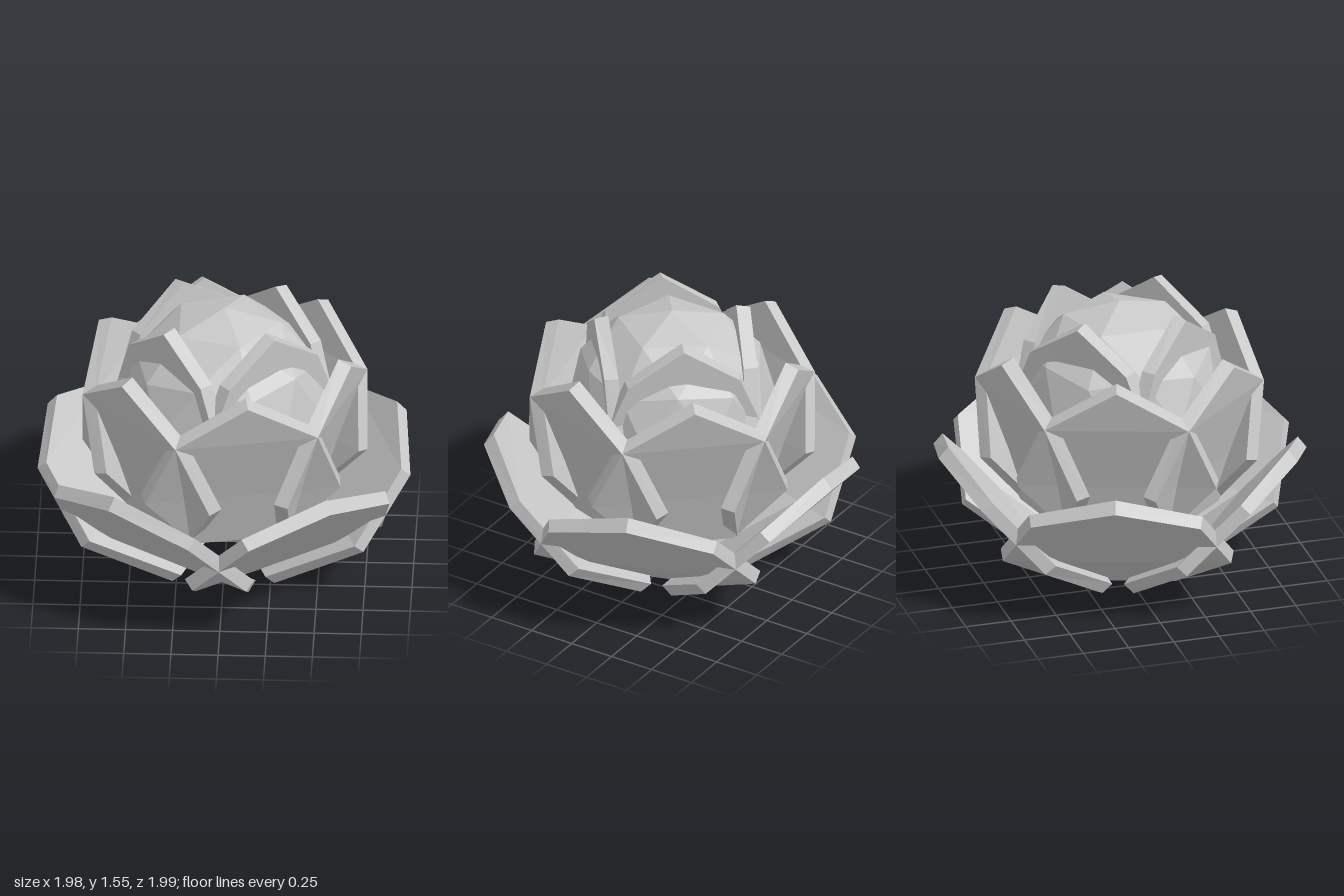
import * as THREE from 'three';

export function createModel() {
  const flower = new THREE.Group();
  flower.name = 'flower';
  const grey = new THREE.MeshStandardMaterial({ color: 0xc8c8c8, flatShading: true });
  grey.name = 'stone grey';

  // Cupped seven-sided plate facing +z, lofted from tip to base through four rows.
  // Each row is [half width, distance from the axis, height] of the outer face.
  function petalGeometry(rows, thickness, tilt) {
    const a = THREE.MathUtils.degToRad(tilt);
    const positions = [];
    const index = [];
    rows.forEach(([half, r, y], i) => {
      const lift = i === 0 ? 0.012 : 0; // the inner tip stands a little higher
      const ri = r - thickness * Math.cos(a);
      const yi = y + thickness * Math.sin(a) + lift;
      const hi = half * 1.02;
      positions.push(-half, y, r, half, y, r, hi, yi, ri, -hi, yi, ri);
      if (i === 0) return;
      for (let k = 0; k < 4; k++) {
        const a0 = (i - 1) * 4 + k, b0 = (i - 1) * 4 + (k + 1) % 4;
        index.push(a0, a0 + 4, b0 + 4, a0, b0 + 4, b0);
      }
    });
    const e = (rows.length - 1) * 4;
    index.push(e, e + 3, e + 2, e, e + 2, e + 1); // underside of the base
    const g = new THREE.BufferGeometry();
    g.setAttribute('position', new THREE.Float32BufferAttribute(positions, 3));
    g.setIndex(index);
    g.computeVertexNormals();
    return g;
  }

  // Rings of overlapping petals; rows are tip, shoulder, widest point, base
  const rings = [
    { name: 'outerPetal', count: 5, start: 36, thick: 0.072, tilt: 43,
      rows: [[0, 1.0, 0.76], [0.45, 0.893, 0.632], [0.605, 0.59, 0.295], [0.305, 0.186, 0]] },
    { name: 'middlePetal', count: 6, start: 12, thick: 0.075, tilt: 14,
      rows: [[0, 0.712, 1.33], [0.385, 0.663, 1.092], [0.525, 0.545, 0.71], [0.25, 0.46, 0.39]] },
    { name: 'innerPetal', count: 4, start: 41, thick: 0.075, tilt: 3,
      rows: [[0, 0.418, 1.535], [0.3, 0.41, 1.335], [0.45, 0.397, 0.97], [0.21, 0.38, 0.72]] },
  ];
  for (const ring of rings) {
    const geometry = petalGeometry(ring.rows, ring.thick, ring.tilt);
    for (let i = 0; i < ring.count; i++) {
      const petal = new THREE.Mesh(geometry, grey);
      petal.name = ring.name + (i + 1);
      petal.rotation.y = THREE.MathUtils.degToRad(ring.start + (360 / ring.count) * i);
      flower.add(petal);
    }
  }

  // Faceted bud, turned so that a corner points straight up
  const budGeometry = new THREE.IcosahedronGeometry(0.56, 1);
  budGeometry.rotateZ(-Math.atan(2 / (1 + Math.sqrt(5))));
  const bud = new THREE.Mesh(budGeometry, grey);
  bud.name = 'bud';
  bud.position.y = 0.99;
  flower.add(bud);

  return flower;
}
